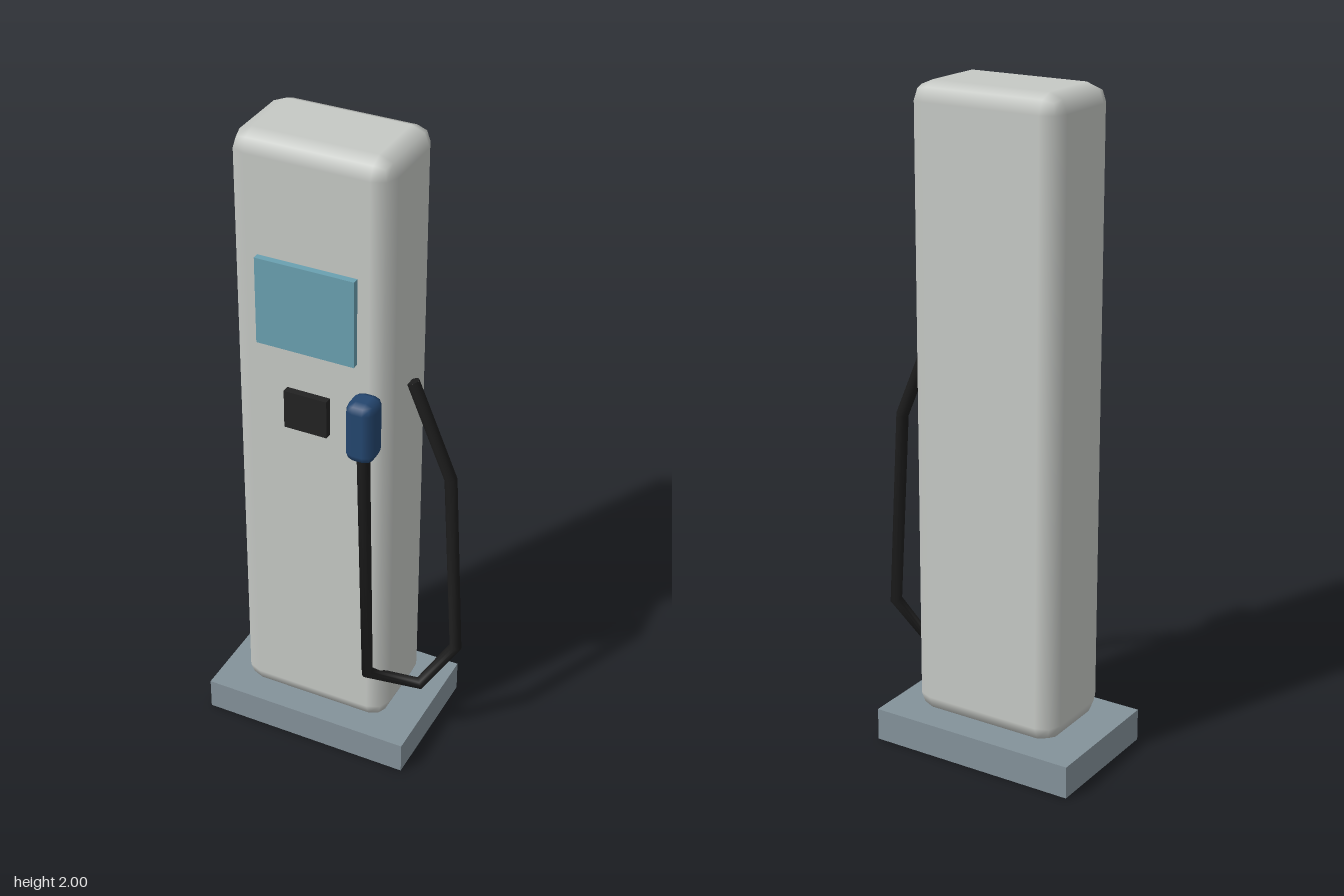
import * as THREE from 'three';
import { RoundedBoxGeometry } from 'three/addons/geometries/RoundedBoxGeometry.js';

const material = (name, color) => {
  const m = new THREE.MeshStandardMaterial({ color });
  m.name = name;
  return m;
};

// Tube path whose rings sit exactly on the bend points
class BentPath extends THREE.Curve {
  constructor(points) {
    super();
    this.points = points;
  }
  getPoint(t, target = new THREE.Vector3()) {
    const n = this.points.length - 1;
    const i = Math.min(Math.floor(t * n + 1e-6), n - 1);
    return target.lerpVectors(this.points[i], this.points[i + 1], t * n - i);
  }
  getPointAt(u, target) {
    return this.getPoint(u, target);
  }
  getTangentAt(u, target = new THREE.Vector3()) {
    const p = this.points, n = p.length - 1, i = Math.round(u * n);
    target.set(0, 0, 0);
    if (i > 0) target.add(p[i].clone().sub(p[i - 1]).normalize());
    if (i < n) target.add(p[i + 1].clone().sub(p[i]).normalize());
    return target.normalize();
  }
}

export function createModel() {
  const group = new THREE.Group();
  const shell = material('pale grey shell', 0xc6c9c5);
  const plinth = material('slate base', 0x84929a);
  const glass = material('blue screen', 0x6aa0b0);
  const navy = material('navy handle', 0x24466f);
  const keys = material('black keypad', 0x222222);
  const rubber = material('black rubber', 0x1c1c1c);

  const add = (name, geometry, mat) => {
    const mesh = new THREE.Mesh(geometry, mat);
    mesh.name = name;
    group.add(mesh);
    return mesh;
  };
  // Box from min and max corners, rounded when a radius is given
  const box = (name, mat, [x0, y0, z0], [x1, y1, z1], radius = 0) => {
    const size = [x1 - x0, y1 - y0, z1 - z0];
    const geometry = radius
      ? new RoundedBoxGeometry(...size, 1, radius)
      : new THREE.BoxGeometry(...size);
    add(name, geometry, mat).position.set((x0 + x1) / 2, (y0 + y1) / 2, (z0 + z1) / 2);
  };

  box('base', plinth, [-0.38, 0, -0.227], [0.283, 0.1, 0.195]);
  box('body', shell, [-0.29, 0.1, -0.166], [0.19, 2, 0.135], 0.055);
  box('screen', glass, [-0.2, 1.385, 0.125], [0.1, 1.652, 0.155]);
  box('keypad', keys, [-0.116, 1.13, 0.125], [0.017, 1.25, 0.158]);
  box('handle', navy, [0.1, 1.12, 0.133], [0.186, 1.312, 0.226], 0.028);

  // Hose hanging from the handle and looping round to the side of the body
  const points = [
    [0.143, 1.15, 0.182], [0.143, 0.305, 0.145], [0.267, 0.222, 0.036],
    [0.36, 0.365, -0.016], [0.325, 0.975, -0.016], [0.2, 1.272, -0.016],
  ].map((p) => new THREE.Vector3(...p));
  const radius = 0.019;
  const path = new BentPath(points);
  add('hose', new THREE.TubeGeometry(path, points.length - 1, radius, 12), rubber);

  // Closed upper end of the hose
  const end = points[points.length - 1];
  const cap = add('hoseEnd', new THREE.CircleGeometry(radius, 12), rubber);
  cap.position.copy(end);
  cap.lookAt(end.clone().add(path.getTangentAt(1)));

  return group;
}
